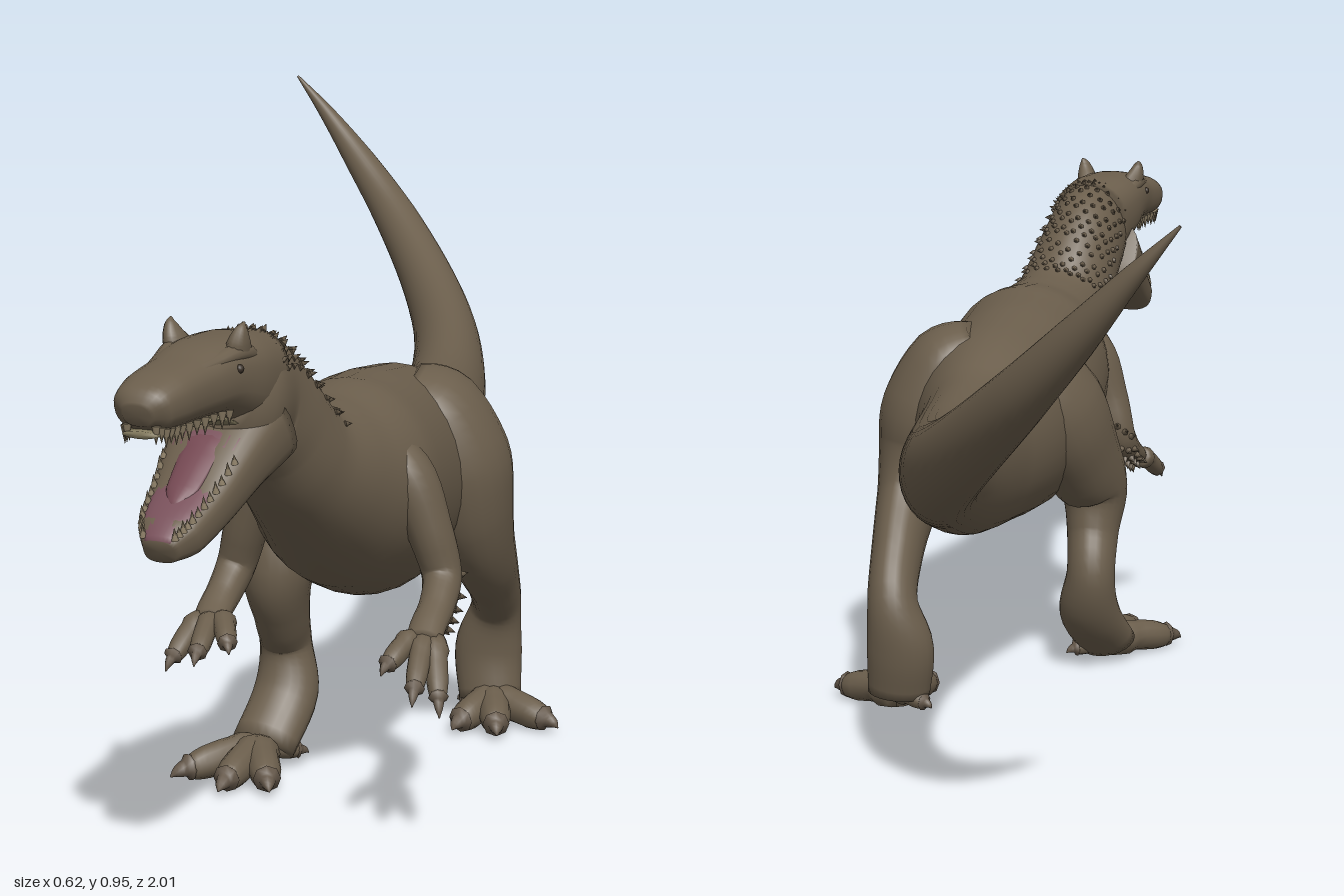
import * as THREE from 'three';
import { mergeGeometries } from 'three/addons/utils/BufferGeometryUtils.js';

const mat = (name, color) => {
  const m = new THREE.MeshStandardMaterial({ color });
  m.name = name;
  return m;
};

// Sampler for a tube through rows of [x, y, z, side radius, upper radius]
function sampler(rows, sq = 1) {
  const path = new THREE.CatmullRomCurve3(rows.map(r => new THREE.Vector3(r[0], r[1], r[2])));
  const size = new THREE.CatmullRomCurve3(rows.map(r => new THREE.Vector3(r[3], r[4], 0)));
  const soft = v => Math.sign(v) * Math.abs(v) ** sq;
  return (t, a) => {
    const c = path.getPoint(t), r = size.getPoint(t), T = path.getTangent(t);
    const S = new THREE.Vector3(1, 0, 0).addScaledVector(T, -T.x).normalize();
    const U = T.clone().cross(S);
    const off = S.multiplyScalar(soft(Math.cos(a)) * Math.max(r.x, 0.001))
      .addScaledVector(U, soft(Math.sin(a)) * Math.max(r.y, 0.001));
    return { c, T, p: c.clone().add(off), n: off.clone().normalize() };
  };
}

// Closed smooth skin over the sampled tube
function loft(rows, seg = 20, sq = 1, per = 5) {
  const at = sampler(rows, sq), n = (rows.length - 1) * per, pos = [], idx = [];
  for (let i = 0; i <= n; i++)
    for (let j = 0; j < seg; j++) pos.push(...at(i / n, j / seg * Math.PI * 2).p.toArray());
  pos.push(...at(0, 0).c.toArray(), ...at(1, 0).c.toArray());
  const s = (n + 1) * seg, e = s + 1;
  for (let j = 0; j < seg; j++) {
    const k = (j + 1) % seg;
    for (let i = 0; i < n; i++) {
      const a = i * seg + j, b = i * seg + k;
      idx.push(a, b, a + seg, b, b + seg, a + seg);
    }
    idx.push(s, k, j, e, n * seg + j, n * seg + k);
  }
  const g = new THREE.BufferGeometry();
  g.setAttribute('position', new THREE.Float32BufferAttribute(pos, 3));
  g.setIndex(idx);
  g.computeVertexNormals();
  return g;
}

// Cone standing at p and pointing along dir
function spike(p, dir, r, h) {
  const q = new THREE.Quaternion().setFromUnitVectors(new THREE.Vector3(0, 1, 0), dir.clone().normalize());
  return new THREE.ConeGeometry(r, h, 6).translate(0, h / 2, 0).applyQuaternion(q).translate(p.x, p.y, p.z);
}

export function createModel() {
  const model = new THREE.Group();
  const skin = mat('brown skin', 0x6b5e4c), claw = mat('claw', 0x65584a), dark = mat('dark eye', 0x3a3027);
  const flesh = mat('mouth flesh', 0x78505a), tongueMat = mat('tongue', 0x744852);
  const ivory = mat('teeth', 0x8c7e66), palateMat = mat('palate', 0x857c60);
  const add = (parent, name, geo, material) => {
    const m = new THREE.Mesh(geo, material);
    m.name = name;
    parent.add(m);
  };

  // Tail, torso and neck as one skin
  const body = [
    [-0.31, 0.95, -1, 0.002, 0.002], [-0.252, 0.885, -0.98, 0.014, 0.015], [-0.178, 0.797, -0.935, 0.028, 0.029],
    [-0.098, 0.703, -0.855, 0.039, 0.042], [-0.01, 0.598, -0.7, 0.049, 0.056], [0.044, 0.528, -0.53, 0.057, 0.07],
    [0.073, 0.468, -0.29, 0.069, 0.09], [0.068, 0.435, -0.05, 0.09, 0.128], [0.052, 0.445, 0.1, 0.13, 0.158],
    [0.035, 0.45, 0.25, 0.142, 0.17], [0.025, 0.48, 0.4, 0.138, 0.152], [0.01, 0.51, 0.5, 0.11, 0.117],
    [-0.01, 0.552, 0.585, 0.085, 0.093], [-0.03, 0.614, 0.645, 0.076, 0.092], [-0.045, 0.656, 0.7, 0.07, 0.094],
    [-0.05, 0.668, 0.76, 0.066, 0.086], [-0.065, 0.685, 0.8, 0.048, 0.05],
  ];
  add(model, 'body', loft(body, 32), skin);

  // Bristles over the nape
  const onBody = sampler(body), bristles = [];
  for (let i = 0; i < 16; i++)
    for (let j = 0; j < 9; j++) {
      const t = (12.1 + i * 0.18 + 0.1 * Math.sin(j * 7.3)) / 16;
      const f = onBody(t, Math.PI / 2 + (j - 4 + (i % 2) * 0.5) * 0.27);
      bristles.push(spike(f.p, f.n.clone().addScaledVector(f.T, -0.8), 0.005, 0.012 + 0.003 * Math.sin(i * 3 + j * 5)));
    }
  add(model, 'neckBristles', mergeGeometries(bristles), skin);

  // Toe or finger with a hooked claw
  function digit(parent, name, a, b, r, arch) {
    const A = new THREE.Vector3(...a), B = new THREE.Vector3(...b);
    const row = (t, lift, k) => [...A.clone().lerp(B, t).add(new THREE.Vector3(0, lift, 0)).toArray(), r * k, r * k];
    add(parent, name, loft([row(0, 0, 1), row(0.3, arch, 1), row(0.6, arch * 0.6, 0.95),
      row(0.76, arch * 0.2, 0.75), row(0.82, 0, 0.3)], 12, 1, 3), skin);
    add(parent, name + 'Claw', loft([row(0.7, arch * 0.5, 0.5), row(0.84, arch * 0.5, 0.5),
      row(0.94, 0, 0.3), row(1, -arch * 0.8, 0.03)], 8, 1, 3), claw);
  }

  // Legs in mid stride, thighs sunk into the hips
  const legs = {
    left: {
      rows: [[0.075, 0.575, 0.145, 0.04, 0.075], [0.122, 0.54, 0.142, 0.07, 0.102], [0.155, 0.465, 0.138, 0.082, 0.108],
        [0.173, 0.39, 0.128, 0.07, 0.094], [0.19, 0.32, 0.092, 0.05, 0.075], [0.196, 0.25, 0.01, 0.041, 0.058],
        [0.195, 0.19, -0.045, 0.04, 0.047], [0.182, 0.115, -0.053, 0.054, 0.04], [0.187, 0.038, -0.04, 0.05, 0.035]],
      foot: [0.192, 0.034, -0.03], toes: [[0.142, 0.02, 0.078], [0.215, 0.02, 0.095], [0.305, 0.02, 0.04]],
      dew: [0.13, 0.025, -0.07],
    },
    right: {
      rows: [[0.025, 0.55, 0.15, 0.04, 0.08], [-0.015, 0.525, 0.15, 0.063, 0.102], [-0.046, 0.465, 0.162, 0.077, 0.106],
        [-0.078, 0.38, 0.21, 0.067, 0.09], [-0.1, 0.31, 0.25, 0.056, 0.07], [-0.1, 0.24, 0.23, 0.043, 0.053],
        [-0.1, 0.18, 0.197, 0.04, 0.045], [-0.096, 0.11, 0.215, 0.05, 0.04], [-0.12, 0.038, 0.28, 0.05, 0.032]],
      foot: [-0.125, 0.034, 0.29], toes: [[-0.24, 0.02, 0.385], [-0.155, 0.02, 0.44], [-0.08, 0.02, 0.43]],
      dew: [-0.055, 0.025, 0.25],
    },
  };
  for (const [side, L] of Object.entries(legs)) {
    const g = new THREE.Group();
    g.name = side + 'Leg';
    model.add(g);
    add(g, side + 'Limb', loft(L.rows, 24), skin);
    L.toes.forEach((t, i) => digit(g, side + 'Toe' + (i + 1), L.foot, t, 0.026, 0.006));
    digit(g, side + 'RearToe', L.foot, L.dew, 0.016, 0.004);
  }

  // Arms with three fingers and a fringe of quills
  const arms = {
    left: {
      rows: [[0.07, 0.55, 0.43, 0.03, 0.035], [0.122, 0.505, 0.44, 0.042, 0.048], [0.158, 0.43, 0.447, 0.034, 0.038],
        [0.178, 0.36, 0.45, 0.029, 0.031], [0.178, 0.328, 0.495, 0.026, 0.027], [0.172, 0.308, 0.545, 0.026, 0.021],
        [0.17, 0.295, 0.575, 0.026, 0.017]],
      fingers: [[0.122, 0.268, 0.645], [0.17, 0.235, 0.675], [0.205, 0.215, 0.655]],
    },
    right: {
      rows: [[-0.02, 0.55, 0.43, 0.03, 0.035], [-0.073, 0.505, 0.44, 0.042, 0.048], [-0.106, 0.43, 0.437, 0.034, 0.038],
        [-0.126, 0.36, 0.43, 0.029, 0.031], [-0.136, 0.328, 0.465, 0.026, 0.027], [-0.142, 0.31, 0.505, 0.026, 0.021],
        [-0.142, 0.3, 0.535, 0.026, 0.017]],
      fingers: [[-0.19, 0.25, 0.61], [-0.145, 0.265, 0.63], [-0.098, 0.28, 0.615]],
    },
  };
  for (const [side, A] of Object.entries(arms)) {
    const g = new THREE.Group(), s = side === 'left' ? 1 : -1;
    g.name = side + 'Arm';
    model.add(g);
    add(g, side + 'ArmLimb', loft(A.rows, 16), skin);
    const at = sampler(A.rows), quills = [], palm = A.rows[6].slice(0, 3);
    for (let i = 0; i < 16; i++) {
      const f = at(0.45 + 0.023 * i, -Math.PI / 2 + s * (0.2 + 0.4 * (i % 3)));
      quills.push(spike(f.p, f.n.clone().addScaledVector(f.T, -0.3), 0.006, 0.015));
    }
    add(g, side + 'ArmQuills', mergeGeometries(quills), skin);
    A.fingers.forEach((p, i) => digit(g, side + 'Finger' + (i + 1),
      [palm[0] + (i - 1) * 0.015, palm[1], palm[2] - 0.01], p, 0.016, 0.006));
  }

  // Head, turned a little to its right
  const head = new THREE.Group();
  head.name = 'head';
  head.position.set(-0.05, 0.66, 0.72);
  head.rotation.y = -0.27;
  model.add(head);
  const upper = [[0, 0.025, 0, 0.066, 0.07], [0, 0.04, 0.06, 0.07, 0.062], [0, 0.05, 0.12, 0.064, 0.05],
    [0, 0.045, 0.18, 0.055, 0.042], [0, 0.04, 0.24, 0.05, 0.037], [0, 0.034, 0.275, 0.041, 0.03],
    [0, 0.028, 0.291, 0.02, 0.015]];
  const lower = [[0, -0.03, 0.015, 0.082, 0.062], [0, -0.066, 0.08, 0.071, 0.048], [0, -0.112, 0.15, 0.057, 0.036],
    [0, -0.144, 0.21, 0.044, 0.029], [0, -0.158, 0.238, 0.023, 0.017]];
  add(head, 'skull', loft(upper, 28, 0.8), skin);
  add(head, 'lowerJaw', loft(lower, 28, 0.7), skin);

  // Mouth lining, tongue and palate
  const floor = lower.slice(1).map(r => [0, r[1] + r[4] * 0.75, r[2] + 0.004, r[3] * 0.82, r[4] * 0.33]);
  add(head, 'mouthFloor', loft([[0, -0.02, 0.04, 0.05, 0.012], ...floor], 20), flesh);
  add(head, 'tongue', loft([[0, -0.014, 0.06, 0.03, 0.01], [0, -0.048, 0.12, 0.03, 0.01],
    [0, -0.089, 0.175, 0.024, 0.009], [0, -0.106, 0.2, 0.008, 0.004]], 14), tongueMat);
  add(head, 'palate', loft(upper.slice(1, 6).map(r => [0, r[1] - r[4] - 0.001, r[2] + 0.01, r[3] * 0.6, 0.005]), 14), palateMat);

  // Teeth along both jaws
  const teeth = [], up = sampler(upper, 0.8), low = sampler(lower, 0.7);
  for (const s of [-1, 1])
    for (let i = 0; i < 12; i++) {
      const side = a => (s > 0 ? a : Math.PI - a);
      teeth.push(spike(up(0.36 + i * 0.052, side(-0.85)).p, new THREE.Vector3(0, -1, 0.05), 0.006, 0.021 + 0.004 * (i % 2)));
      teeth.push(spike(low(0.36 + i * 0.052, side(0.75)).p, new THREE.Vector3(0, 1, 0.15), 0.005, 0.014 + 0.004 * (i % 2)));
    }
  add(head, 'teeth', mergeGeometries(teeth), ivory);

  // Brow horns, brow ridges and eyes
  for (const s of [-1, 1]) {
    const tag = s > 0 ? 'left' : 'right';
    add(head, tag + 'BrowHorn', loft([[s * 0.04, 0.072, 0.098, 0.02, 0.028], [s * 0.048, 0.098, 0.106, 0.014, 0.02],
      [s * 0.052, 0.114, 0.106, 0.008, 0.01], [s * 0.054, 0.123, 0.102, 0.001, 0.001]], 12), skin);
    add(head, tag + 'BrowRidge', loft([[s * 0.046, 0.066, 0.05, 0.008, 0.008], [s * 0.047, 0.082, 0.1, 0.015, 0.013],
      [s * 0.036, 0.076, 0.16, 0.013, 0.009], [s * 0.025, 0.066, 0.22, 0.009, 0.007],
      [s * 0.02, 0.056, 0.26, 0.004, 0.004]], 12), skin);
    add(head, tag + 'Eye', new THREE.SphereGeometry(0.006, 12, 8).translate(s * 0.06, 0.066, 0.128), dark);
  }
  return model;
}
